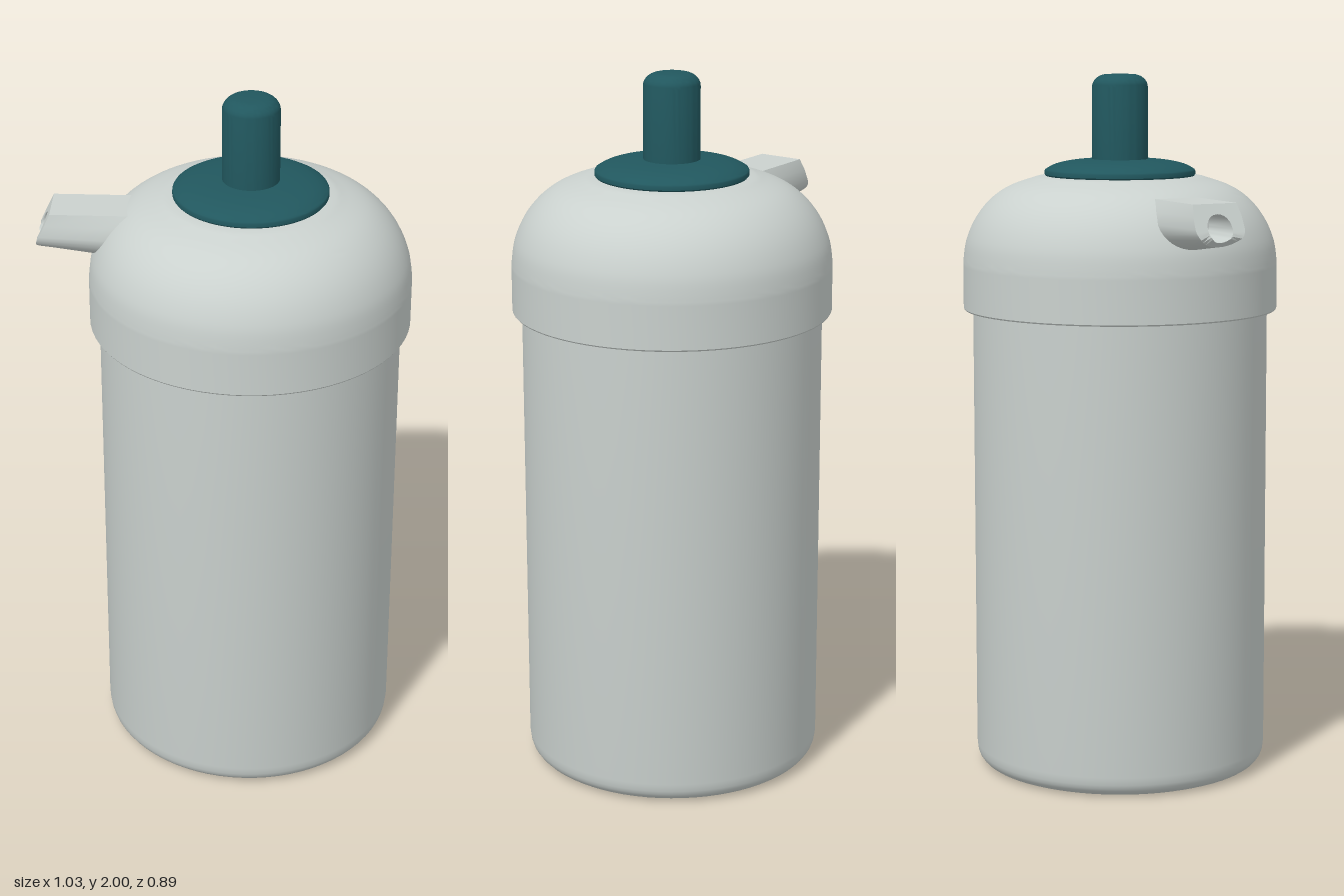
import * as THREE from 'three';
import { toCreasedNormals } from 'three/addons/utils/BufferGeometryUtils.js';

const shell = new THREE.MeshStandardMaterial({ color: 0xcad1ce });
shell.name = 'pale grey';
const accent = new THREE.MeshStandardMaterial({ color: 0x21575e });
accent.name = 'dark teal';

const v = (x, y) => new THREE.Vector2(x, y);

// Smooth run of profile points through a few control points
const smooth = (pairs, n) => new THREE.SplineCurve(pairs.map(([x, y]) => v(x, y))).getPoints(n);

// Quarter-ellipse corner from the side (r, y) up to the top (r - a, y + b)
function corner(r, y, a, b, n = 8) {
  return Array.from({ length: n + 1 }, (_, i) => {
    const t = (i / n) * Math.PI / 2;
    return v(r - a + a * Math.cos(t), y + b * Math.sin(t));
  });
}

function lathe(name, points, material) {
  const mesh = new THREE.Mesh(toCreasedNormals(new THREE.LatheGeometry(points, 72), 0.6), material);
  mesh.name = name;
  return mesh;
}

// Flat-topped, round-bottomed outline of the spout as [z, y] pairs
const TOP = 1.67, MID = 1.605;
function spoutOutline(w, bottom) {
  const pts = [];
  for (let i = 0; i < 6; i++) pts.push([-0.066 + 0.132 * i / 6, TOP]);
  pts.push([0.066, TOP], [(0.066 + w) / 2 + 0.003, (TOP + MID) / 2]);
  for (let i = 0; i <= 16; i++) {
    const t = i / 16 * Math.PI;
    pts.push([w * Math.cos(t), MID - (MID - bottom) * Math.sin(t)]);
  }
  pts.push([-(0.066 + w) / 2 - 0.003, (TOP + MID) / 2]);
  return pts;
}

// Slanted mouth: the lip sticks out furthest a little above its lower edge
const mouthX = (y) => (y > 1.58 ? -0.478 - (TOP - y) * 0.46 : -0.519 + (1.58 - y) * 0.9);

function spoutGeometry() {
  const tip = spoutOutline(0.075, 1.555);
  const bore = (r) => tip.map(([z, y]) => {
    const a = Math.atan2(y - MID, z);
    return [r * Math.cos(a), MID + r * Math.sin(a)];
  });
  const place = (ring, x) => ring.map(([z, y]) => [typeof x === 'function' ? x(y) : x, y, z]);
  const rings = [
    place(spoutOutline(0.092, 1.515), -0.24),
    place(spoutOutline(0.089, 1.533), -0.34),
    place(tip, mouthX),
    place(bore(0.038), mouthX),
    place(bore(0.038), -0.38),
    place(bore(0), -0.38),
  ];
  const n = tip.length, index = [];
  for (let r = 0; r < rings.length - 1; r++) {
    for (let i = 0; i < n; i++) {
      const j = (i + 1) % n;
      const a = (r + 1) * n + i, a2 = (r + 1) * n + j, b = r * n + i, b2 = r * n + j;
      index.push(a, a2, b, a2, b2, b);
    }
  }
  const geo = new THREE.BufferGeometry();
  geo.setAttribute('position', new THREE.Float32BufferAttribute(rings.flat(2), 3));
  geo.setIndex(index);
  return toCreasedNormals(geo, 0.5);
}

export function createModel() {
  const model = new THREE.Group();
  model.name = 'pumpBottle';

  // Everything turned shares one axis, offset to balance the spout
  const turned = new THREE.Group();
  turned.name = 'turnedParts';
  turned.position.x = 0.068;
  model.add(turned);

  // Body with rounded foot and hollowed base
  turned.add(lathe('body', [
    ...smooth([[0, 0.04], [0.15, 0.034], [0.28, 0.02], [0.37, 0.004]], 12),
    ...smooth([[0.375, 0.004], [0.398, 0.014], [0.415, 0.035], [0.42, 0.065]], 8),
    v(0.42, 1.4),
  ], shell));

  // Domed lid overhanging the body
  turned.add(lathe('lid', [
    v(0.415, 1.37), v(0.436, 1.37), v(0.436, 1.335), v(0.444, 1.335), v(0.447, 1.339), v(0.447, 1.46),
    ...smooth([[0.447, 1.47], [0.438, 1.53], [0.413, 1.59], [0.375, 1.64],
      [0.325, 1.678], [0.26, 1.703], [0.2, 1.714], [0, 1.718]], 36),
  ], shell));

  // Collar disc under the plunger
  turned.add(lathe('collar', [
    v(0, 1.712), v(0.21, 1.712), v(0.214, 1.717), v(0.214, 1.727),
    ...smooth([[0.212, 1.731], [0.185, 1.745], [0.14, 1.755], [0.08, 1.76], [0, 1.76]], 16),
  ], accent));

  // Plunger with rounded top
  turned.add(lathe('plunger', [
    v(0.079, 1.74), ...corner(0.079, 1.962, 0.042, 0.036), v(0, 2),
  ], accent));

  // Pouring spout
  const spout = new THREE.Mesh(spoutGeometry(), shell);
  spout.name = 'spout';
  model.add(spout);

  return model;
}
